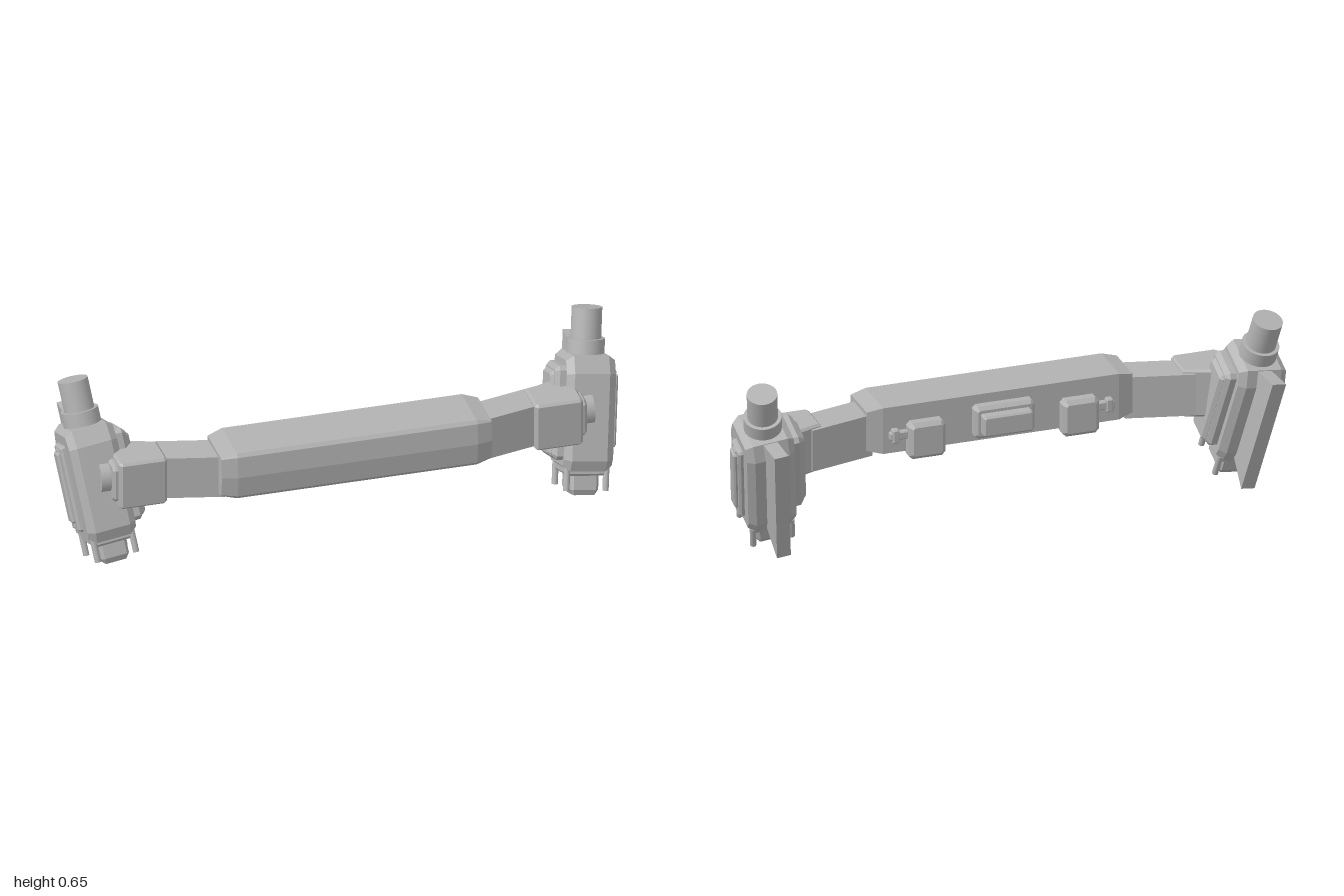
import * as THREE from 'three';

export function createModel() {
  const root = new THREE.Group();
  const grey = new THREE.MeshStandardMaterial({ color: 0xb2b2b2 });
  grey.name = 'plain grey';

  function add(parent, name, geo, x = 0, y = 0, z = 0) {
    const m = new THREE.Mesh(geo, grey);
    m.name = name;
    m.position.set(x, y, z);
    parent.add(m);
    return m;
  }

  // Outline extruded along z, centred, with chamfered ends inside the outline
  function prism(points, depth, size = 0, thick = size) {
    const shape = new THREE.Shape(points.map(p => new THREE.Vector2(p[0], p[1])));
    const geo = new THREE.ExtrudeGeometry(shape, {
      depth: depth - 2 * thick, bevelEnabled: size > 0, bevelSegments: 1,
      bevelSize: size, bevelThickness: thick, bevelOffset: -size,
    });
    return geo.translate(0, 0, -depth / 2 + thick);
  }

  // Rectangle outline with cut corners
  function cutRect(w, h, cx, cy = cx) {
    const a = w / 2, b = h / 2;
    return [[a, -b + cy], [a, b - cy], [a - cx, b], [-a + cx, b],
      [-a, b - cy], [-a, -b + cy], [-a + cx, -b], [a - cx, -b]];
  }

  // Chamfered slab whose thickness runs along x
  const sideSlab = (thick, h, d, bevel, cut = bevel) =>
    prism(cutRect(d, h, cut), thick, bevel).rotateY(Math.PI / 2);
  // Chamfered slab whose thickness runs along z
  const backSlab = (w, h, thick, bevel) => prism(cutRect(w, h, bevel), thick, bevel);

  // Central bar with softly bowed front and tapered ends (outline is -z, y)
  const bar = [[-0.05, 0.267], [-0.2, 0.259], [-0.238, 0.263], [-0.247, 0.275], [-0.255, 0.35],
    [-0.247, 0.425], [-0.236, 0.437], [-0.05, 0.44]];
  add(root, 'centralBar', prism(bar, 0.97, 0.014, 0.055).rotateY(Math.PI / 2));

  // Raised tray in the middle of the back
  add(root, 'backTray', backSlab(0.22, 0.12, 0.05, 0.012), 0, 0.35, 0.028);
  add(root, 'backTrayPad', backSlab(0.18, 0.075, 0.06, 0.006), 0, 0.35, -0.005);

  function buildSide(s) {
    const side = new THREE.Group();
    side.name = s > 0 ? 'leftSide' : 'rightSide';
    root.add(side);

    // Box and clip behind the bar
    add(side, 'backBox', backSlab(0.135, 0.135, 0.06, 0.014), s * 0.28, 0.313, 0.037);
    add(side, 'backClip', backSlab(0.09, 0.03, 0.03, 0.004), s * 0.365, 0.335, 0.045);
    add(side, 'backClipTip', backSlab(0.025, 0.05, 0.03, 0.004), s * 0.39, 0.335, 0.04);

    // Strut swept backwards from the bar
    const strut = new THREE.BoxGeometry(0.24, 0.155, 0.13);
    const p = strut.attributes.position;
    for (let i = 0; i < p.count; i++) p.setZ(i, p.getZ(i) - s * 0.24 * p.getX(i));
    strut.computeVertexNormals();
    add(side, 'strut', strut, s * 0.58, 0.333, 0.11);

    // End block with wedge-shaped plan (outline is x, -z)
    const plan = [[0.66, -0.04], [0.69, -0.03], [0.8, 0.01], [0.832, 0], [0.832, -0.165],
      [0.822, -0.177], [0.67, -0.177], [0.66, -0.165]].map(q => [s * q[0], q[1]]);
    add(side, 'endBlock', prism(plan, 0.177, 0.008).rotateX(-Math.PI / 2), 0, 0.333, 0);
    add(side, 'hubPlate', sideSlab(0.03, 0.14, 0.15, 0.008, 0.015), s * 0.835, 0.335, 0.085);
    add(side, 'hub', new THREE.CylinderGeometry(0.06, 0.06, 0.08, 32).rotateZ(Math.PI / 2),
      s * 0.845, 0.335, 0.08);

    // Leaning pod: local y runs along its length, local z points forwards
    const pod = new THREE.Group();
    pod.name = 'pod';
    pod.position.set(s * 0.877, 0.3, 0.02);
    pod.rotation.set(-0.326, 0, -s * 0.13);
    side.add(pod);

    const body = [[-0.103, -0.17], [-0.103, 0.135], [-0.08, 0.195], [0.085, 0.195],
      [0.108, 0.135], [0.108, -0.165], [0.095, -0.208], [-0.083, -0.208]];
    add(pod, 'podBody', prism(body, 0.175, 0.018, 0.025).rotateY(Math.PI / 2));

    // Outer panel with a raised strip
    add(pod, 'outerPanel', sideSlab(0.05, 0.31, 0.086, 0.008), s * 0.08, -0.013, -0.008);
    add(pod, 'outerStrip', sideSlab(0.04, 0.255, 0.05, 0.006), s * 0.097, -0.008, -0.008);
    add(pod, 'outerStripCore', sideSlab(0.03, 0.285, 0.035, 0.004), s * 0.094, -0.012, -0.008);

    // Inner panel facing the bar
    add(pod, 'innerPanel', sideSlab(0.07, 0.33, 0.15, 0.015), -s * 0.09, -0.005, 0.005);
    add(pod, 'innerPad', sideSlab(0.07, 0.3, 0.115, 0.012), -s * 0.103, -0.01, 0.005);

    // Rear fin flaring outwards
    const fin = [[0.08, -0.185], [0.211, -0.238], [0.211, 0.242], [0.08, 0.19]];
    add(pod, 'rearFin', prism(fin, 0.05).rotateY(Math.PI / 2));

    // Top collar and post
    add(pod, 'collar', new THREE.CylinderGeometry(0.066, 0.066, 0.08, 40), 0, 0.206, -0.002);
    add(pod, 'post', new THREE.CylinderGeometry(0.053, 0.053, 0.16, 40), 0, 0.274, -0.002);

    // Bottom flange, plug and corner pins
    add(pod, 'flange', prism(cutRect(0.15, 0.165, 0.012), 0.055, 0.008).rotateX(-Math.PI / 2),
      0, -0.198, -0.008);
    add(pod, 'plug', prism(cutRect(0.1, 0.125, 0.01), 0.11, 0.012, 0.02).rotateX(-Math.PI / 2),
      0, -0.242, -0.008);
    for (const px of [-0.07, 0.07]) for (const pz of [-0.083, 0.067]) {
      add(pod, 'pin', new THREE.CylinderGeometry(0.011, 0.011, 0.08, 16), px, -0.237, pz);
    }
  }
  buildSide(1);
  buildSide(-1);
  return root;
}
